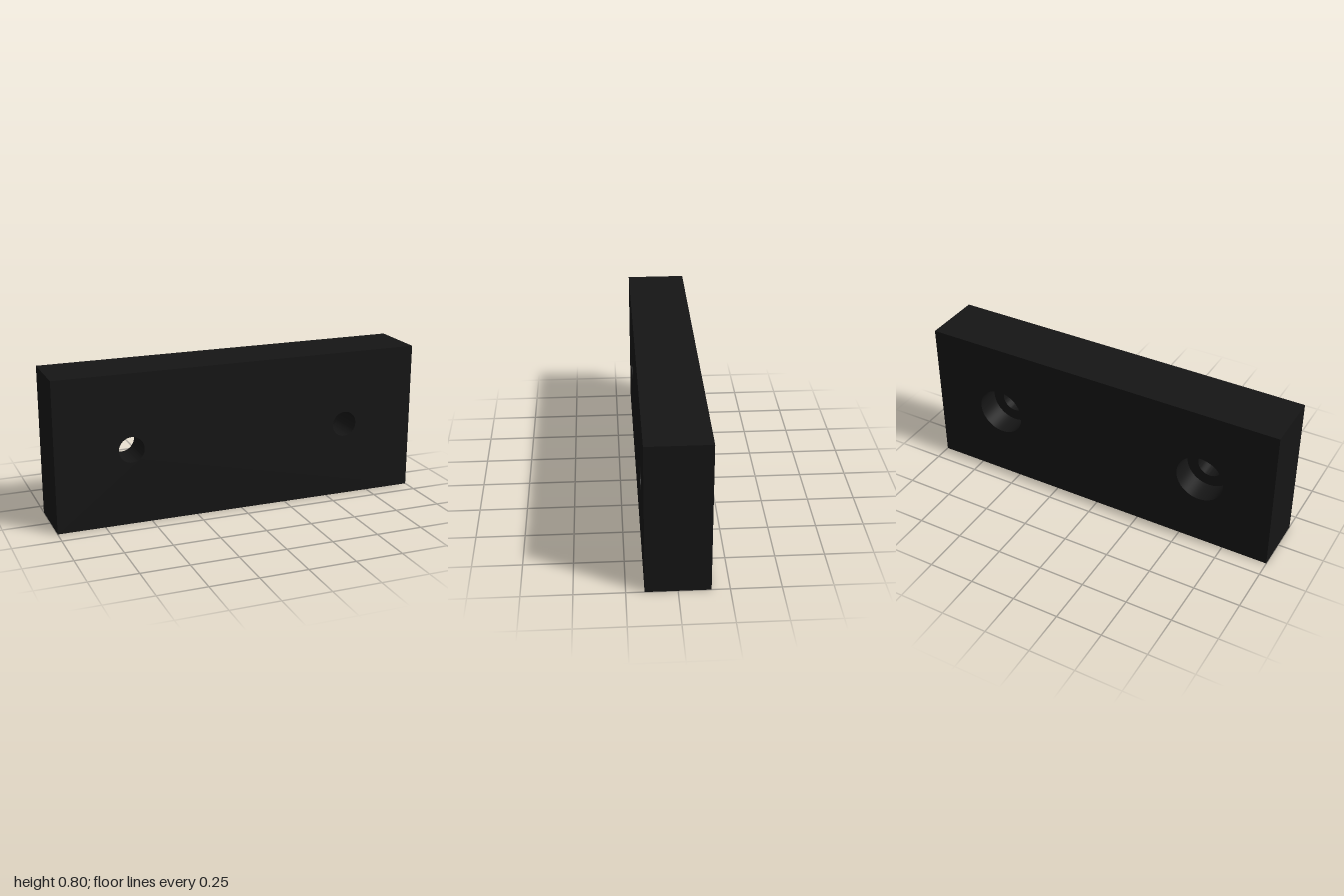
import * as THREE from 'three';
import { mergeGeometries, toCreasedNormals } from 'three/addons/utils/BufferGeometryUtils.js';

const W = 2, H = 0.8, D = 0.32;          // plate size
const HOLE_X = 0.6, HOLE_R = 0.068;      // through holes
const BORE_R = 0.13, BORE_DEPTH = 0.13;  // counterbores, open at the back
const SEGMENTS = 64;

// Rectangular face centred on the origin with a round hole on each side
function drilledFace(radius) {
  const shape = new THREE.Shape([
    new THREE.Vector2(-W / 2, -H / 2), new THREE.Vector2(W / 2, -H / 2),
    new THREE.Vector2(W / 2, H / 2), new THREE.Vector2(-W / 2, H / 2),
  ]);
  for (const x of [-HOLE_X, HOLE_X]) {
    shape.holes.push(new THREE.Path().absarc(x, 0, radius, 0, Math.PI * 2, true));
  }
  return new THREE.ShapeGeometry(shape, SEGMENTS / 2);
}

// Stepped inner wall of one screw hole, running from front to back
function holeWall(x) {
  const step = -D / 2 + BORE_DEPTH;
  const profile = [[HOLE_R, D / 2], [HOLE_R, step], [BORE_R, step], [BORE_R, -D / 2]]
    .map(([r, z]) => new THREE.Vector2(r, z));
  const wall = new THREE.LatheGeometry(profile, SEGMENTS).rotateX(Math.PI / 2).translate(x, 0, 0);
  return toCreasedNormals(wall, Math.PI / 6);
}

export function createModel() {
  const parts = [
    // front and back faces
    drilledFace(HOLE_R).translate(0, 0, D / 2),
    drilledFace(BORE_R).rotateY(Math.PI).translate(0, 0, -D / 2),
    // top, bottom and ends
    new THREE.PlaneGeometry(W, D).rotateX(-Math.PI / 2).translate(0, H / 2, 0),
    new THREE.PlaneGeometry(W, D).rotateX(Math.PI / 2).translate(0, -H / 2, 0),
    new THREE.PlaneGeometry(D, H).rotateY(Math.PI / 2).translate(W / 2, 0, 0),
    new THREE.PlaneGeometry(D, H).rotateY(-Math.PI / 2).translate(-W / 2, 0, 0),
    // counterbored holes
    holeWall(-HOLE_X),
    holeWall(HOLE_X),
  ].map((g) => (g.index ? g.toNonIndexed() : g));

  const plate = new THREE.Mesh(
    mergeGeometries(parts),
    new THREE.MeshStandardMaterial({ color: 0x151515 }),
  );
  plate.name = 'counterboredPlate';
  plate.position.y = H / 2;

  const group = new THREE.Group();
  group.name = 'mountingPlate';
  group.add(plate);
  return group;
}
